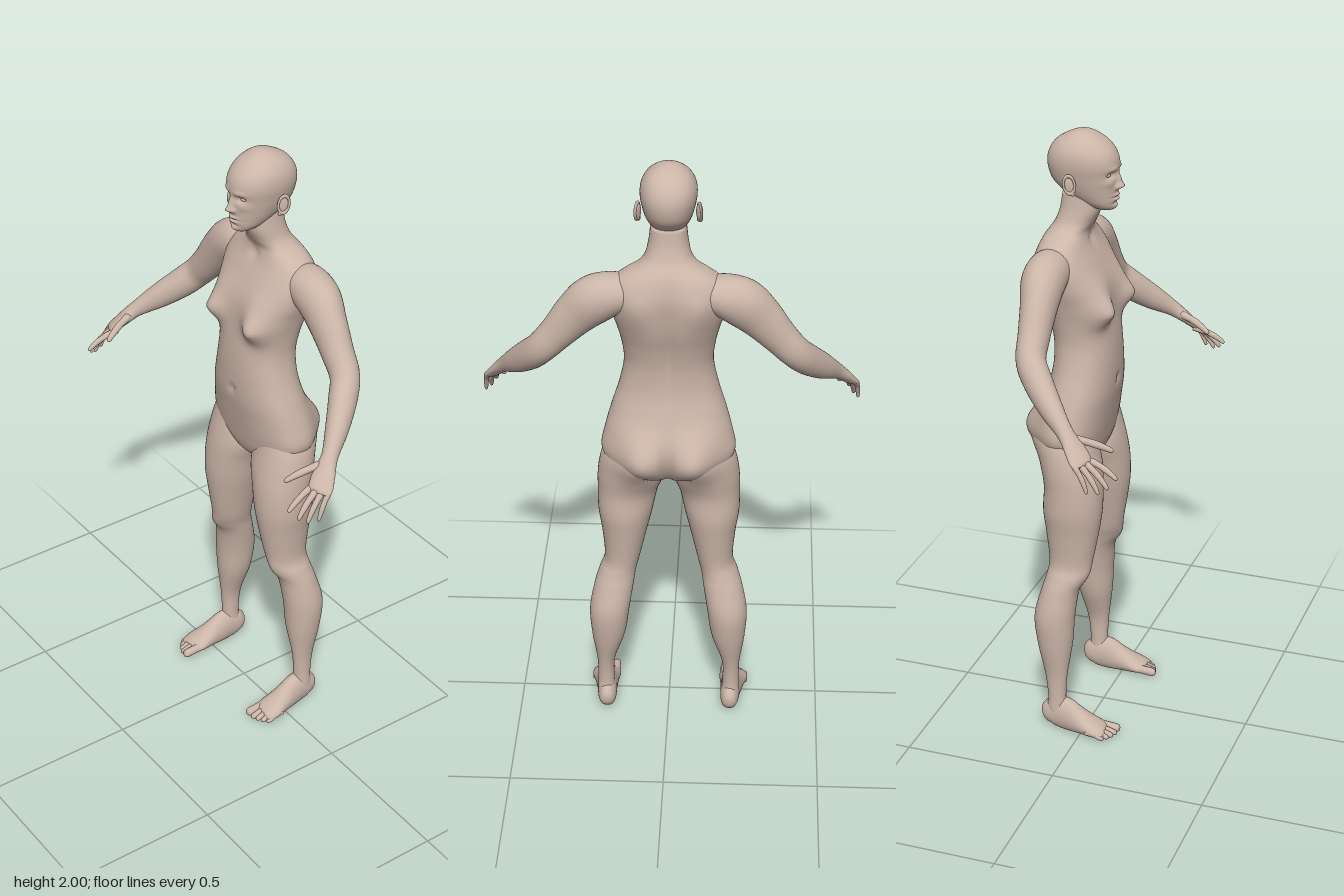
import * as THREE from 'three';

const skin = new THREE.MeshStandardMaterial({ color: 0xcbb5a8 });
skin.name = 'skin';

// Catmull-Rom blend of key rows at t in 0..1
function blend(keys, t) {
  const n = keys.length - 1, f = Math.min(t * n, n - 1e-6), i = Math.floor(f), u = f - i;
  const k = (j) => keys[Math.max(0, Math.min(n, j))];
  return keys[i].map((p1, c) => {
    const p0 = k(i - 1)[c], p2 = k(i + 1)[c], p3 = k(i + 2)[c];
    return 0.5 * (2 * p1 + (p2 - p0) * u + (2 * p0 - 5 * p1 + 4 * p2 - p3) * u * u
      + (3 * p1 - p0 - 3 * p2 + p3) * u * u * u);
  });
}

// Closed skin through rings of points; point(t, angle) gives each vertex
function skinRings(rows, cols, point) {
  const pos = [], idx = [];
  for (let i = 0; i <= rows; i++) {
    for (let j = 0; j < cols; j++) pos.push(...point(i / rows, (j / cols) * Math.PI * 2).toArray());
  }
  for (let i = 0; i < rows; i++) {
    for (let j = 0; j < cols; j++) {
      const a = i * cols + j, b = i * cols + (j + 1) % cols;
      idx.push(a, a + cols, b, b, a + cols, b + cols);
    }
  }
  for (const row of [0, rows]) {
    const c = new THREE.Vector3(), pole = pos.length / 3;
    for (let j = 0; j < cols; j++) c.add(new THREE.Vector3().fromArray(pos, (row * cols + j) * 3));
    pos.push(...c.divideScalar(cols).toArray());
    for (let j = 0; j < cols; j++) {
      const a = row * cols + j, b = row * cols + (j + 1) % cols;
      if (row) idx.push(pole, b, a); else idx.push(pole, a, b);
    }
  }
  const g = new THREE.BufferGeometry();
  g.setAttribute('position', new THREE.Float32BufferAttribute(pos, 3));
  g.setIndex(idx);
  g.computeVertexNormals();
  return g;
}

// Level slices, bottom to top: [y, centre x, half width, front z, back z]
// bumps: [x, y, outward amount, spread x, spread y, side (1 front, -1 back)]
function slices(keys, rows, cols, e, bumps = []) {
  const pw = (v) => Math.sign(v) * Math.abs(v) ** (2 / e);
  return skinRings(rows, cols, (t, a) => {
    const [y, cx, hx, zf, zb] = blend(keys, t), s = Math.sin(a);
    const p = new THREE.Vector3(cx + hx * pw(Math.cos(a)), y, (zf + zb) / 2 + (zf - zb) / 2 * pw(s));
    let dz = 0;
    for (const [bx, by, amp, sx, sy, side] of bumps) {
      const w = Math.sqrt(Math.max(0, s * side));
      for (const m of bx ? [1, -1] : [1]) {
        dz += side * amp * w * Math.exp(-(((p.x - m * bx) / sx) ** 2) - ((y - by) / sy) ** 2);
      }
    }
    p.z += dz;
    return p;
  });
}

// Limb along a path: [x, y, z, radius up, radius across]
function limb(keys, rows = 16, cols = 14) {
  const at = (t) => new THREE.Vector3(...blend(keys, Math.max(0, Math.min(1, t))));
  return skinRings(rows, cols, (t, a) => {
    const [x, y, z, ru, rw] = blend(keys, t);
    const T = at(t + 0.03).sub(at(t - 0.03)).normalize();
    const N = new THREE.Vector3(0, 1, 0).addScaledVector(T, -T.y).normalize();
    const B = new THREE.Vector3().crossVectors(T, N);
    const p = new THREE.Vector3(x, y, z).addScaledVector(N, ru * Math.sin(a)).addScaledVector(B, rw * Math.cos(a));
    p.y = Math.max(p.y, 0);
    return p;
  });
}

function mirrored(g) {
  const m = g.clone(), p = m.attributes.position, ix = m.index.array;
  for (let i = 0; i < p.count; i++) p.setX(i, -p.getX(i));
  for (let i = 0; i < ix.length; i += 3) [ix[i], ix[i + 1]] = [ix[i + 1], ix[i]];
  m.computeVertexNormals();
  return m;
}

export function createModel() {
  const body = new THREE.Group();
  body.name = 'figure';
  const add = (name, g) => {
    const mesh = new THREE.Mesh(g, skin);
    mesh.name = name;
    body.add(mesh);
  };
  const pair = (name, g) => {
    add('left' + name, g);
    add('right' + name, mirrored(g));
  };

  // Torso and neck, with bust, shoulder blades, spine, navel and buttocks
  const seat = [[0.085, 1.03, 0.06, 0.075, 0.085, -1], [0, 1.01, -0.028, 0.016, 0.08, -1]];
  add('torso', slices([
    [0.925, 0, 0.03, -0.02, -0.1], [0.945, 0, 0.1, 0, -0.145], [0.98, 0, 0.18, 0.014, -0.17],
    [1.03, 0, 0.212, 0.024, -0.18], [1.1, 0, 0.2, 0.036, -0.178], [1.17, 0, 0.18, 0.047, -0.165],
    [1.25, 0, 0.155, 0.05, -0.15], [1.33, 0, 0.14, 0.047, -0.15], [1.4, 0, 0.145, 0.04, -0.163],
    [1.47, 0, 0.16, 0.033, -0.183], [1.53, 0, 0.178, 0.02, -0.193], [1.59, 0, 0.188, -0.007, -0.197],
    [1.635, 0, 0.17, -0.03, -0.19], [1.665, 0, 0.132, -0.04, -0.18], [1.685, 0, 0.096, -0.04, -0.168],
    [1.71, 0, 0.072, -0.028, -0.152], [1.75, 0, 0.061, -0.012, -0.138], [1.8, 0, 0.055, -0.01, -0.13],
  ], 130, 96, 2.3, [
    ...seat,
    [0.112, 1.445, 0.052, 0.048, 0.046, 1], [0.1, 1.5, 0.018, 0.06, 0.06, 1],
    [0.118, 1.447, 0.007, 0.012, 0.012, 1],
    [0.1, 1.56, 0.014, 0.05, 0.07, -1], [0, 1.42, -0.014, 0.025, 0.2, -1],
    [0, 1.195, -0.009, 0.012, 0.014, 1], [0, 1.655, -0.008, 0.018, 0.02, 1],
  ]));

  // Head with facial relief
  add('head', slices([
    [1.752, 0, 0.012, 0.022, 0], [1.758, 0, 0.03, 0.034, -0.03], [1.775, 0, 0.047, 0.041, -0.07],
    [1.8, 0, 0.06, 0.043, -0.115], [1.83, 0, 0.071, 0.044, -0.153], [1.86, 0, 0.079, 0.045, -0.171],
    [1.9, 0, 0.086, 0.048, -0.178], [1.935, 0, 0.083, 0.037, -0.17], [1.965, 0, 0.068, 0.012, -0.148],
    [1.985, 0, 0.046, -0.018, -0.115], [1.995, 0, 0.027, -0.04, -0.09], [2, 0, 0, -0.065, -0.065],
  ], 110, 110, 2.15, [
    [0, 1.832, 0.018, 0.01, 0.011, 1], [0, 1.85, 0.013, 0.009, 0.02, 1], [0.011, 1.828, 0.008, 0.007, 0.007, 1],
    [0.031, 1.87, -0.014, 0.015, 0.01, 1], [0.03, 1.889, 0.004, 0.018, 0.007, 1],
    [0.045, 1.845, 0.004, 0.018, 0.014, 1],
    [0, 1.803, 0.008, 0.018, 0.0045, 1], [0, 1.79, 0.008, 0.016, 0.005, 1],
    [0, 1.797, -0.006, 0.022, 0.0022, 1], [0, 1.777, -0.005, 0.02, 0.005, 1],
    [0, 1.763, 0.005, 0.018, 0.009, 1],
  ]));
  pair('Eye', new THREE.SphereGeometry(1, 20, 14).scale(0.0125, 0.0065, 0.009).translate(0.031, 1.87, 0.023));

  // Ears: bowl, rim and lobe
  const tuckEar = (g) => g.rotateY(-0.35).rotateX(-0.15).translate(0.09, 1.845, -0.08);
  pair('EarBowl', tuckEar(new THREE.SphereGeometry(1, 18, 14).scale(0.006, 0.028, 0.016)));
  pair('EarRim', tuckEar(new THREE.TorusGeometry(0.02, 0.0045, 8, 28).rotateY(Math.PI / 2)
    .scale(1, 1.4, 0.85).translate(0.004, 0.002, 0)));
  pair('EarLobe', tuckEar(new THREE.SphereGeometry(1, 14, 10).scale(0.005, 0.009, 0.008).translate(0.002, -0.027, 0.007)));

  // Legs
  pair('Leg', slices([
    [0.03, 0.209, 0.027, -0.065, -0.118], [0.07, 0.21, 0.029, -0.058, -0.122], [0.12, 0.21, 0.027, -0.06, -0.12],
    [0.2, 0.209, 0.03, -0.055, -0.13], [0.31, 0.199, 0.055, -0.041, -0.156], [0.41, 0.194, 0.065, -0.035, -0.167],
    [0.5, 0.179, 0.064, -0.025, -0.148], [0.55, 0.167, 0.06, -0.004, -0.135], [0.6, 0.152, 0.058, 0.012, -0.13],
    [0.7, 0.144, 0.073, 0.03, -0.142], [0.78, 0.14, 0.088, 0.04, -0.152], [0.86, 0.132, 0.097, 0.039, -0.15],
    [0.93, 0.119, 0.108, 0.03, -0.16], [1.0, 0.115, 0.1, 0.014, -0.16], [1.06, 0.11, 0.08, 0, -0.14],
  ], 90, 48, 2.05, [...seat, [0.165, 0.555, 0.007, 0.035, 0.035, 1]]));

  // Feet and toes
  pair('Foot', limb([
    [0.207, 0.03, -0.137, 0.005, 0.005], [0.207, 0.034, -0.13, 0.028, 0.021], [0.207, 0.045, -0.108, 0.05, 0.03],
    [0.209, 0.052, -0.07, 0.06, 0.033], [0.212, 0.04, -0.03, 0.052, 0.036], [0.215, 0.03, 0.01, 0.037, 0.042],
    [0.218, 0.022, 0.045, 0.025, 0.048], [0.22, 0.016, 0.073, 0.016, 0.043], [0.22, 0.014, 0.083, 0.006, 0.032],
  ], 40, 32));
  const toes = [[0.188, 0.122, 0.014], [0.21, 0.118, 0.0095], [0.227, 0.111, 0.009], [0.243, 0.101, 0.0085], [0.257, 0.088, 0.008]];
  toes.forEach(([x, z, r], i) => pair('Toe' + (i + 1), limb([
    [x, 0.02, z - 0.065, r, r], [x, 0.018, z - 0.035, r, r], [x, r + 0.002, z - 0.013, r, r],
    [x, r, z - 0.003, r * 0.7, r * 0.75], [x, r, z, 0.001, 0.001],
  ])));

  // Arms down to the palm
  pair('Arm', limb([
    [0.1, 1.595, -0.12, 0.045, 0.055], [0.16, 1.592, -0.12, 0.066, 0.067], [0.225, 1.567, -0.118, 0.077, 0.067],
    [0.285, 1.51, -0.11, 0.068, 0.056], [0.34, 1.445, -0.104, 0.056, 0.049], [0.39, 1.388, -0.095, 0.05, 0.046],
    [0.43, 1.34, -0.058, 0.049, 0.044], [0.48, 1.285, 0, 0.041, 0.036], [0.525, 1.235, 0.06, 0.026, 0.026],
    [0.548, 1.2, 0.098, 0.019, 0.035], [0.57, 1.166, 0.128, 0.014, 0.038], [0.576, 1.156, 0.138, 0.007, 0.03],
  ], 80, 36));

  // Fingers: knuckle, then tip
  const fingers = [
    ['IndexFinger', [0.543, 1.163, 0.145], [0.555, 1.118, 0.235], 0.0095],
    ['MiddleFinger', [0.562, 1.162, 0.137], [0.577, 1.093, 0.214], 0.0095],
    ['RingFinger', [0.578, 1.16, 0.127], [0.591, 1.08, 0.19], 0.009],
    ['LittleFinger', [0.594, 1.163, 0.114], [0.604, 1.082, 0.158], 0.008],
    ['Thumb', [0.527, 1.218, 0.083], [0.486, 1.175, 0.2], 0.0115],
  ];
  for (const [name, a, b, r] of fingers) {
    const at = (t, w) => {
      const bow = 0.03 * t * (1 - t);
      return [0, 1, 2].map((c) => a[c] + (b[c] - a[c]) * t + bow * [0.2, 0.8, 0.5][c]).concat(r * w, r * w);
    };
    pair(name, limb([at(-0.15, 0.9), at(0.1, 1.15), at(0.35, 1), at(0.55, 1.02), at(0.78, 0.85), at(0.93, 0.68), at(0.985, 0.4), at(1, 0.05)], 24, 14));
  }

  return body;
}
